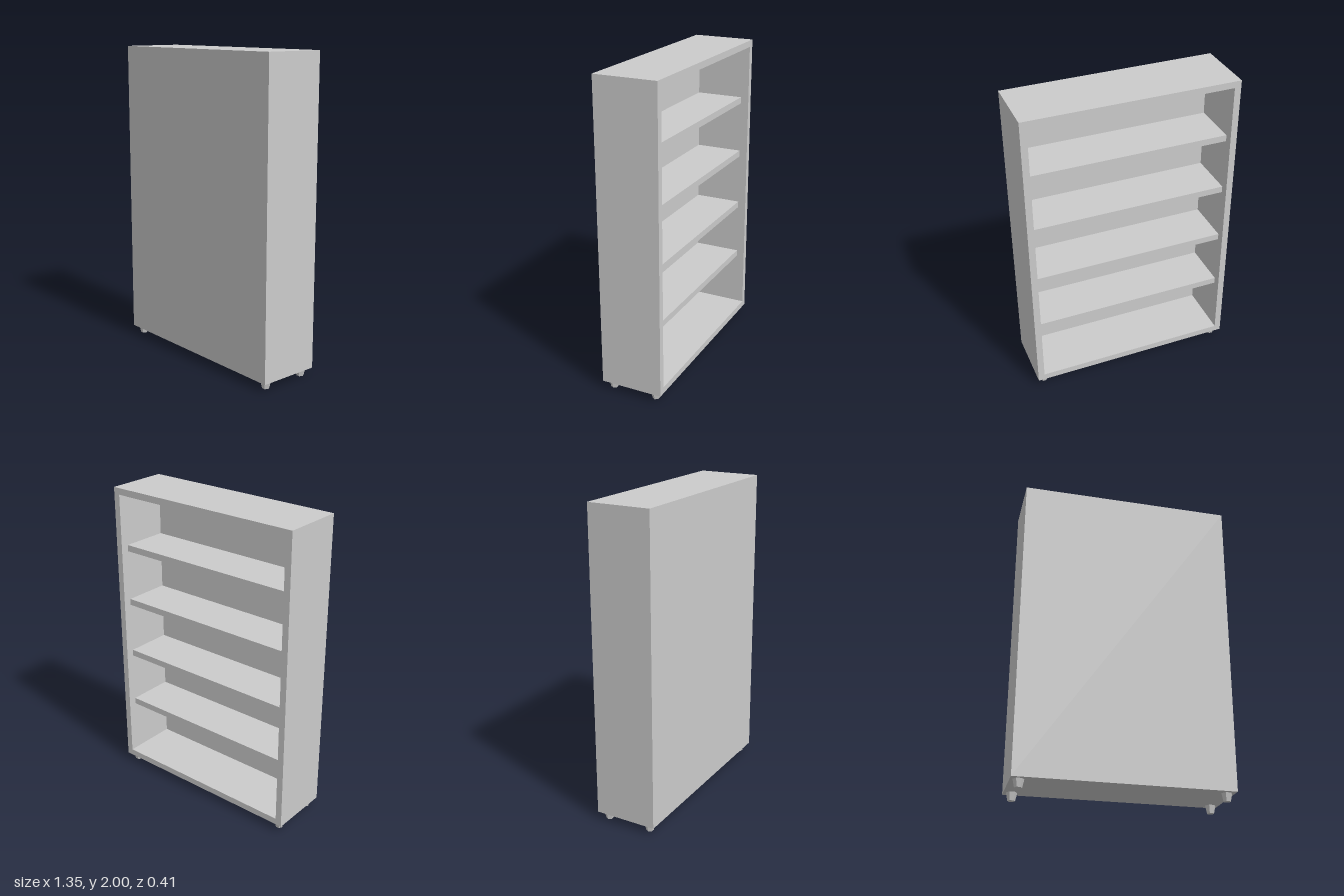
import * as THREE from 'three';

const W = 1.35, D = 0.405, TOP = 2, BASE = 0.05, T = 0.042;

export function createModel() {
  const model = new THREE.Group();
  model.name = 'bookcase';
  const mat = new THREE.MeshStandardMaterial({ color: 0xcccccc, flatShading: true });
  const add = (name, geometry, x, y, z) => {
    const mesh = new THREE.Mesh(geometry, mat);
    mesh.name = name;
    mesh.position.set(x, y, z);
    model.add(mesh);
  };

  // Outer frame: one rectangular ring extruded through the depth
  const rect = (Type, inset) => new Type([
    new THREE.Vector2(-W / 2 + inset, BASE + inset),
    new THREE.Vector2(W / 2 - inset, BASE + inset),
    new THREE.Vector2(W / 2 - inset, TOP - inset),
    new THREE.Vector2(-W / 2 + inset, TOP - inset),
  ]);
  const ring = rect(THREE.Shape, 0);
  ring.holes.push(rect(THREE.Path, T));
  add('frame', new THREE.ExtrudeGeometry(ring, { depth: D - T, bevelEnabled: false }), 0, 0, -D / 2);

  // Full panel closing the +z side; the -z side stays open
  add('closingPanel', new THREE.BoxGeometry(W, TOP - BASE, T), 0, (TOP + BASE) / 2, D / 2 - T / 2);

  // Four shelves, set back a little from the open edge
  const zOpen = -D / 2 + 0.053, zPanel = D / 2 - T;
  const shelf = new THREE.BoxGeometry(W - 2 * T, T, zPanel - zOpen);
  for (let i = 0; i < 4; i++) {
    add(`shelf${i + 1}`, shelf, 0, 0.47 + 0.375 * i, (zOpen + zPanel) / 2);
  }

  // Tapered six-sided feet with corners pointing sideways
  const foot = new THREE.CylinderGeometry(0.034, 0.023, BASE, 6).rotateY(Math.PI / 6);
  for (const sx of [-1, 1]) {
    for (const sz of [-1, 1]) {
      add(`${sz > 0 ? 'front' : 'back'}${sx > 0 ? 'Left' : 'Right'}Foot`, foot, sx * 0.625, BASE / 2, sz * 0.148);
    }
  }
  return model;
}
